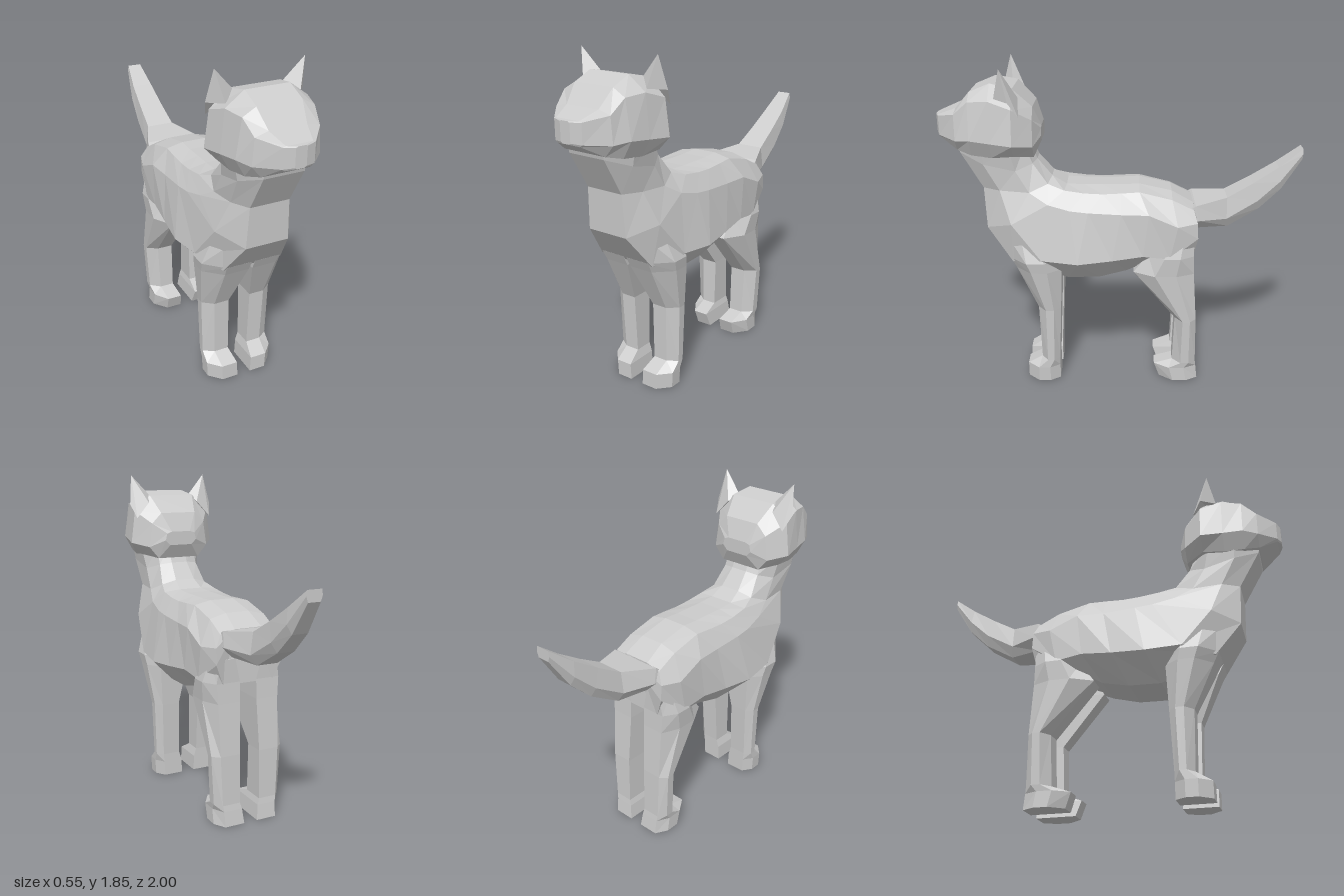
import * as THREE from 'three';

const material = new THREE.MeshStandardMaterial({ color: 0xcccccc, flatShading: true, side: THREE.DoubleSide });

// Skin a list of rings (equal point counts) and close both ends.
function loft(name, rings) {
  const n = rings[0].length, last = rings.length - 1, tris = [];
  for (let r = 0; r < last; r++) {
    for (let i = 0; i < n; i++) {
      const j = (i + 1) % n;
      const a = rings[r][i], b = rings[r][j], c = rings[r + 1][j], d = rings[r + 1][i];
      tris.push([a, b, c], [a, c, d]);
    }
  }
  for (let i = 1; i < n - 1; i++) {
    tris.push([rings[0][0], rings[0][i + 1], rings[0][i]]);
    tris.push([rings[last][0], rings[last][i], rings[last][i + 1]]);
  }
  // Signed volume tells whether the faces look outward.
  let volume = 0;
  for (const [a, b, c] of tris) {
    volume += new THREE.Vector3(...a).dot(new THREE.Vector3(...b).cross(new THREE.Vector3(...c)));
  }
  if (volume < 0) tris.forEach((t) => t.reverse());
  const geometry = new THREE.BufferGeometry();
  geometry.setAttribute('position', new THREE.Float32BufferAttribute(tris.flat(2), 3));
  geometry.computeVertexNormals();
  const mesh = new THREE.Mesh(geometry, material);
  mesh.name = name;
  return mesh;
}

// Half section [x, y, z] from top to bottom, mirrored into a full ring.
const mirrorRing = (half) => [...half, ...half.map(([x, y, z]) => [-x, y, z]).reverse()];

// Horizontal leg section with bevelled outer corners.
function legRing([y, x0, x1, z0, z1], side) {
  const w = x1 - x0, d = z1 - z0;
  return [
    [x0, z1], [x0 + w * 0.6, z1], [x1, z1 - d * 0.35],
    [x1, z0 + d * 0.3], [x0 + w * 0.75, z0], [x0, z0],
  ].map(([x, z]) => [side * x, y, z]);
}

export function createModel() {
  const group = new THREE.Group();
  group.name = 'cat';

  // Neck and torso, from throat to rump: spine, back edge, upper flank, lower flank, belly
  const torso = [
    [[0.05, 1.42, 0.50], [0.12, 1.42, 0.52], [0.19, 1.42, 0.60], [0.19, 1.42, 0.74], [0.11, 1.42, 0.88]],
    [[0.05, 1.33, 0.46], [0.12, 1.32, 0.48], [0.17, 1.29, 0.57], [0.175, 1.33, 0.74], [0.11, 1.38, 0.87]],
    [[0.06, 1.235, 0.38], [0.14, 1.21, 0.40], [0.175, 1.17, 0.50], [0.165, 1.18, 0.66], [0.11, 1.18, 0.755]],
    [[0.07, 1.19, 0.30], [0.165, 1.18, 0.31], [0.205, 1.11, 0.40], [0.22, 1.00, 0.60], [0.12, 0.95, 0.745]],
    [[0.07, 1.185, 0.20], [0.17, 1.165, 0.20], [0.22, 1.08, 0.28], [0.255, 0.80, 0.44], [0.17, 0.76, 0.605]],
    [[0.07, 1.185, 0.10], [0.17, 1.16, 0.10], [0.225, 1.07, 0.18], [0.275, 0.785, 0.24], [0.13, 0.645, 0.30]],
    [[0.07, 1.185, 0.0], [0.17, 1.165, 0.0], [0.225, 1.06, 0.0], [0.255, 0.80, 0.05], [0.13, 0.65, 0.12]],
    [[0.07, 1.19, -0.10], [0.165, 1.17, -0.10], [0.235, 1.06, -0.15], [0.24, 0.82, -0.12], [0.12, 0.685, -0.03]],
    [[0.07, 1.15, -0.28], [0.165, 1.125, -0.28], [0.235, 0.99, -0.31], [0.23, 0.80, -0.27], [0.10, 0.75, -0.20]],
    [[0.08, 1.085, -0.40], [0.165, 1.065, -0.40], [0.20, 1.00, -0.42], [0.20, 0.91, -0.425], [0.15, 0.79, -0.405]],
  ];
  group.add(loft('torso', torso.map(mirrorRing)));

  // Head, from nape to muzzle: each row is z, then [x, y] pairs from crown to jaw
  const head = [
    [0.43, [0.06, 1.52], [0.09, 1.51], [0.10, 1.47], [0.07, 1.44]],
    [0.47, [0.11, 1.63], [0.17, 1.57], [0.19, 1.43], [0.13, 1.36]],
    [0.57, [0.14, 1.73], [0.24, 1.64], [0.265, 1.45], [0.20, 1.38]],
    [0.69, [0.12, 1.755], [0.22, 1.68], [0.24, 1.46], [0.19, 1.37]],
    [0.80, [0.12, 1.71], [0.19, 1.67], [0.22, 1.47], [0.17, 1.38]],
    [0.88, [0.10, 1.62], [0.17, 1.60], [0.18, 1.46], [0.13, 1.40]],
    [0.98, [0.07, 1.58], [0.085, 1.575], [0.085, 1.47], [0.07, 1.46]],
    [1.00, [0.02, 1.577], [0.03, 1.572], [0.03, 1.475], [0.02, 1.468]],
  ];
  group.add(loft('head', head.map(([z, ...half]) => mirrorRing(half.map(([x, y]) => [x, y, z])))));

  // Tail: top edge, middle edge and underside
  const tail = [
    [[0.16, 1.065, -0.38], [0.165, 1.00, -0.40], [0.10, 0.94, -0.41]],
    [[0.155, 1.085, -0.41], [0.16, 1.00, -0.43], [0.10, 0.94, -0.43]],
    [[0.08, 1.11, -0.59], [0.095, 0.99, -0.59], [0.06, 0.935, -0.60]],
    [[0.07, 1.19, -0.73], [0.08, 1.09, -0.76], [0.05, 1.035, -0.77]],
    [[0.06, 1.28, -0.87], [0.07, 1.20, -0.88], [0.045, 1.15, -0.89]],
    [[0.04, 1.38, -1.00], [0.045, 1.35, -1.00], [0.035, 1.32, -1.00]],
  ];
  group.add(loft('tail', tail.map(mirrorRing)));

  // Leg sections: y, inner x, outer x, back z, front z
  const frontLeg = [
    [0.95, 0.05, 0.20, 0.37, 0.66], [0.78, 0.01, 0.255, 0.345, 0.62],
    [0.72, 0.01, 0.245, 0.335, 0.59], [0.47, 0.065, 0.21, 0.345, 0.475],
    [0.14, 0.06, 0.20, 0.36, 0.465], [0.09, 0.045, 0.20, 0.36, 0.55], [0, 0.04, 0.195, 0.36, 0.55],
  ];
  const hindLeg = [
    [0.93, 0.08, 0.20, -0.41, -0.22], [0.80, 0.05, 0.235, -0.405, -0.15],
    [0.69, 0.05, 0.225, -0.41, -0.07], [0.40, 0.06, 0.215, -0.43, -0.31],
    [0.12, 0.06, 0.20, -0.435, -0.30], [0.085, 0.05, 0.195, -0.44, -0.195],
    [0, 0.04, 0.195, -0.45, -0.225],
  ];
  // Ear base on the skull, rising to a single tip
  const earBase = [[0.13, 1.73, 0.60], [0.20, 1.69, 0.66], [0.265, 1.68, 0.58], [0.24, 1.60, 0.53], [0.16, 1.69, 0.54]];

  for (const [side, label] of [[1, 'left'], [-1, 'right']]) {
    group.add(loft(label + 'FrontLeg', frontLeg.map((s) => legRing(s, side))));
    group.add(loft(label + 'HindLeg', hindLeg.map((s) => legRing(s, side))));
    const base = earBase.map(([x, y, z]) => [side * x, y, z]);
    group.add(loft(label + 'Ear', [base, base.map(() => [side * 0.24, 1.85, 0.62])]));
  }
  return group;
}
